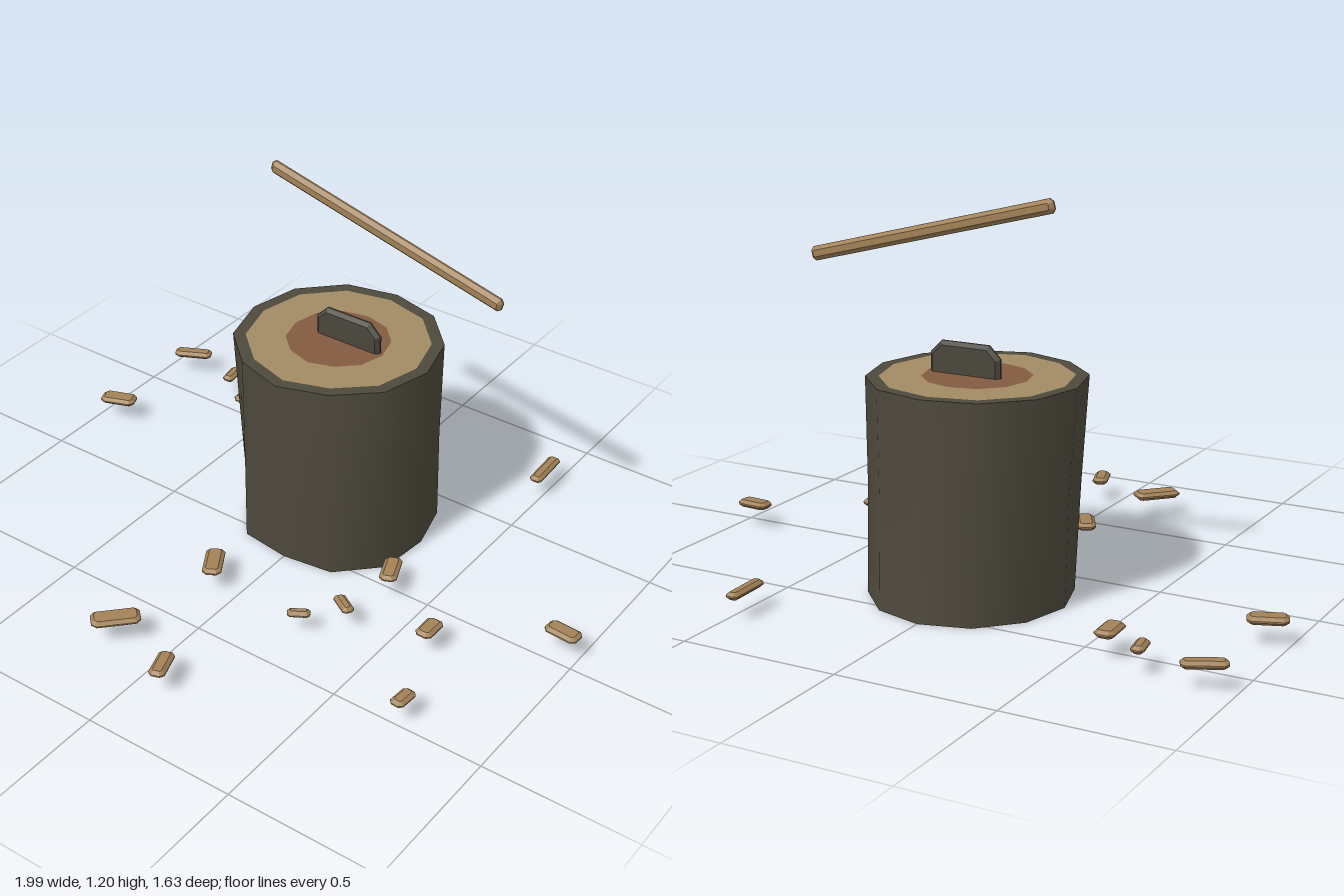
import * as THREE from 'three';

const mat = (name, color) => Object.assign(new THREE.MeshStandardMaterial({ color }), { name });

// Rectangle with clipped corners, extruded with a one-step bevel, centred
function bevelledSlab(length, width, thickness, bevel) {
  const x = length / 2 - bevel, y = width / 2 - bevel, c = Math.min(x, y) * 0.35;
  const shape = new THREE.Shape([
    [-x + c, -y], [x - c, -y], [x, -y + c], [x, y - c],
    [x - c, y], [-x + c, y], [-x, y - c], [-x, -y + c],
  ].map(([a, b]) => new THREE.Vector2(a, b)));
  const depth = thickness * 0.2;
  const g = new THREE.ExtrudeGeometry(shape, {
    depth, bevelEnabled: true, bevelSegments: 1, bevelSize: bevel, bevelThickness: thickness * 0.4,
  });
  return g.translate(0, 0, -depth / 2);
}

export function createModel() {
  const group = new THREE.Group();
  const bark = mat('bark', 0x4e493c);
  const wood = mat('paleWood', 0xa28a64);
  const heart = mat('heartwood', 0x825a3f);
  const steel = mat('darkIron', 0x4a463d);
  const timber = mat('handleWood', 0xa28157);

  const add = (name, geometry, material, parent = group) => {
    const m = new THREE.Mesh(geometry, material);
    m.name = name;
    parent.add(m);
    return m;
  };

  // Stump: uneven twelve-sided rings joined into a smooth bark wall
  const N = 12;
  const levels = [
    { y: 0, x: 0, z: -0.255, rx: 0.31, rz: 0.32, f: [1, 1.09, 1.08, 1, 1.07, 0.98, 1, 1, 1, 1, 1, 1] },
    { y: 0.33, x: 0.002, z: -0.235, rx: 0.314, rz: 0.322, f: [1, 1.03, 1.03, 1, 1.03, 1, 1, 1.01, 1, 1, 1, 1] },
    { y: 0.66, x: -0.007, z: -0.232, rx: 0.328, rz: 0.33, f: [1, 1, 0.97, 1, 0.98, 1, 1, 1.02, 1.02, 1, 1.01, 1] },
  ];
  const ring = (l, s = 1) => l.f.map((f, i) => {
    const a = (i / N) * Math.PI * 2;
    return new THREE.Vector2(l.x + Math.cos(a) * l.rx * f * s, l.z + Math.sin(a) * l.rz * f * s);
  });
  const pos = [], idx = [];
  levels.forEach((l, k) => {
    ring(l).forEach((p) => pos.push(p.x, l.y, p.y));
    if (k === 0) return;
    for (let i = 0; i < N; i++) {
      const a = (k - 1) * N + i, b = (k - 1) * N + ((i + 1) % N);
      idx.push(a, a + N, b, b, a + N, b + N);
    }
  });
  const wall = new THREE.BufferGeometry();
  wall.setAttribute('position', new THREE.Float32BufferAttribute(pos, 3));
  wall.setIndex(idx);
  wall.computeVertexNormals();
  const stump = new THREE.Group();
  stump.name = 'stump';
  group.add(stump);
  add('barkWall', wall, bark, stump);

  // Cut faces: bark rim, pale wood and heartwood as flat nested rings
  for (const [l, up, side] of [[levels[2], true, 'top'], [levels[0], false, 'bottom']]) {
    const face = (name, outer, inner, material) => {
      const flip = (pts) => pts.map((p) => new THREE.Vector2(p.x, up ? -p.y : p.y));
      const shape = new THREE.Shape(flip(ring(l, outer)));
      if (inner) shape.holes.push(new THREE.Path(flip(ring(l, inner))));
      const g = new THREE.ShapeGeometry(shape);
      g.rotateX(up ? -Math.PI / 2 : Math.PI / 2).translate(0, l.y, 0);
      add(side + name, g, material, stump);
    };
    face('BarkRim', 1, 0.88, bark);
    face('PaleWood', 0.88, 0.5, wood);
    face('Heartwood', 0.5, 0, heart);
  }

  // Axe: head sunk in the stump, handle above it
  add('axeHead', bevelledSlab(0.235, 0.2, 0.03, 0.012), steel).position.set(0.027, 0.655, -0.24);
  const handle = add('axeHandle', bevelledSlab(0.848, 0.044, 0.032, 0.012), timber);
  handle.position.set(0.148, 1.076, -0.24);
  handle.rotation.z = -0.25;

  // Wood chips: x, z, length, width, direction x, direction z
  const chips = [
    [-0.91, -0.62, 0.13, 0.05, 0.12, -0.06],
    [-0.71, -0.59, 0.085, 0.04, 0.015, 0.085],
    [-0.585, -0.52, 0.108, 0.062, 0.006, 0.1],
    [-0.935, -0.235, 0.12, 0.065, 0.12, -0.045],
    [0.48, -0.74, 0.153, 0.042, 0.007, 0.15],
    [0.94, -0.055, 0.11, 0.06, 0.11, 0.008],
    [0.362, 0, 0.115, 0.055, 0.04, 0.1],
    [0.34, 0.222, 0.085, 0.038, 0.07, 0.042],
    [0.255, 0.336, 0.07, 0.036, 0.06, -0.037],
    [0.61, 0.165, 0.09, 0.055, 0, 0.1],
    [0.715, 0.465, 0.08, 0.046, -0.007, 0.1],
    [-0.103, 0.292, 0.125, 0.06, 0.058, 0.1],
    [-0.174, 0.677, 0.15, 0.07, 0.1, -0.105],
    [0.07, 0.757, 0.11, 0.05, 0.034, 0.1],
  ];
  const pile = new THREE.Group();
  pile.name = 'woodChips';
  group.add(pile);
  for (const [x, z, length, width, dx, dz] of chips) {
    const g = bevelledSlab(length, width, 0.024, 0.011).rotateX(-Math.PI / 2);
    const chip = add('woodChip', g, timber, pile);
    chip.position.set(x, 0.074, z);
    chip.rotation.y = -Math.atan2(dz, dx);
  }
  return group;
}
